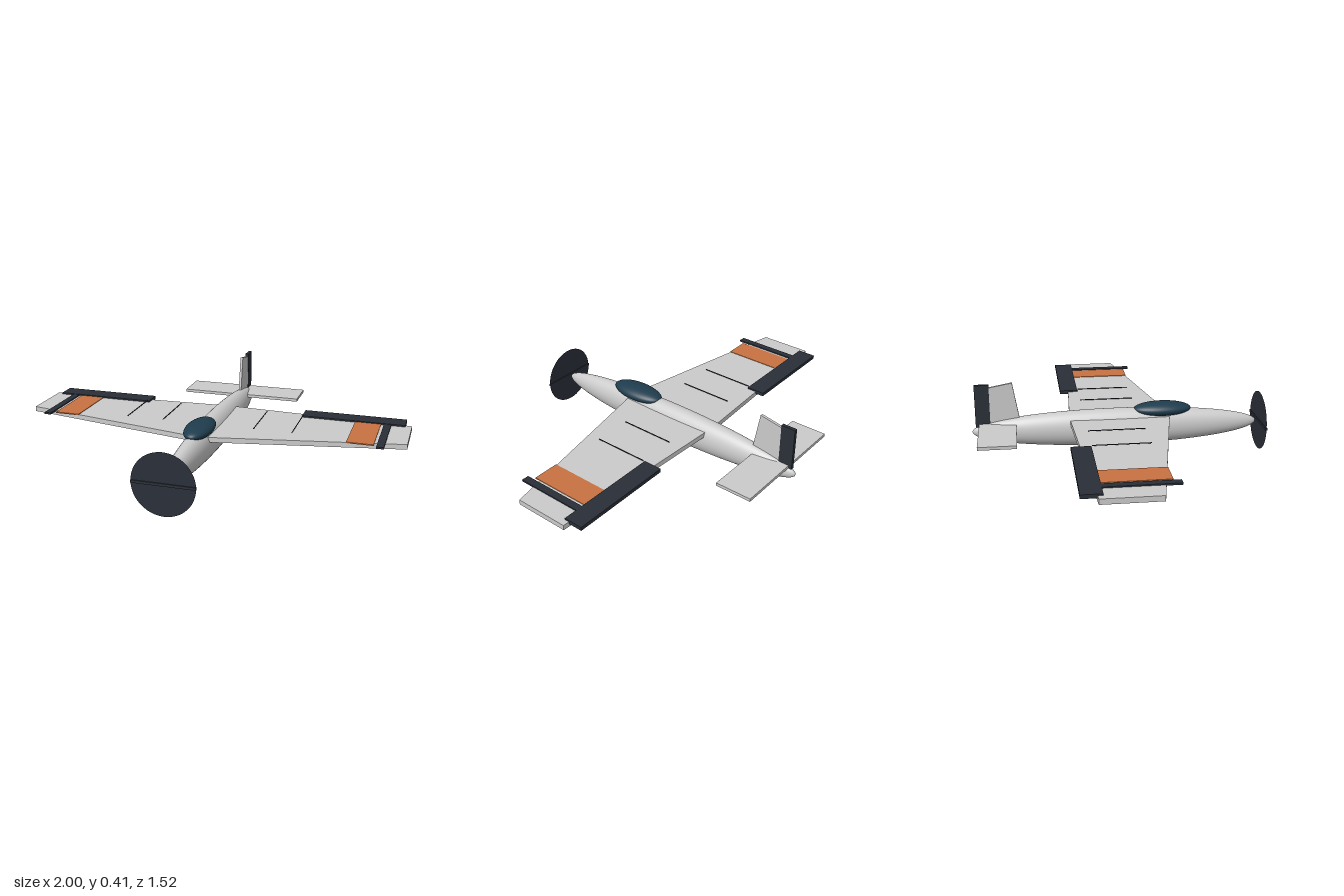
import * as THREE from 'three';

const mat = (color, extra = {}) => new THREE.MeshStandardMaterial({ color, ...extra });

export function createModel() {
  const plane = new THREE.Group();
  plane.name = 'airplane';
  const grey = mat(0xcccccc);
  const dark = mat(0x2a2f38);
  const orange = mat(0xc87240);
  const glass = mat(0x1f3d4e);

  const add = (name, geometry, material, x = 0, y = 0, z = 0) => {
    const mesh = new THREE.Mesh(geometry, material);
    mesh.name = name;
    mesh.position.set(x, y, z);
    plane.add(mesh);
    return mesh;
  };
  // Box given by its x, y and z ranges
  const box = (name, material, [x0, x1], [y0, y1], [z0, z1]) =>
    add(name, new THREE.BoxGeometry(x1 - x0, y1 - y0, z1 - z0), material,
      (x0 + x1) / 2, (y0 + y1) / 2, (z0 + z1) / 2);
  // Ellipsoid with its poles along z
  const ellipsoid = (name, material, rx, ry, rz, y, z) =>
    add(name, new THREE.SphereGeometry(1, 40, 28).rotateX(Math.PI / 2).scale(rx, ry, rz),
      material, 0, y, z);
  // Flat plate extruded from an outline
  const plate = (points, depth) => new THREE.ExtrudeGeometry(
    new THREE.Shape(points.map(([a, b]) => new THREE.Vector2(a, b))),
    { depth, bevelEnabled: false });

  // Body and canopy
  ellipsoid('fuselage', grey, 0.07, 0.098, 0.747, 0.157, -0.01);
  ellipsoid('canopy', glass, 0.07, 0.037, 0.152, 0.245, 0.23);

  // Tapered wing: outline in x and -z, laid flat
  const wing = plate([
    [-1, -0.073], [0, -0.273], [1, -0.073], [1, 0.205], [0, 0.257], [-1, 0.205],
  ], 0.026);
  add('wing', wing.rotateX(-Math.PI / 2), grey, 0, 0.188, 0);

  // Wing details on both sides
  for (const s of [-1, 1]) {
    const side = s > 0 ? 'left' : 'right';
    const span = (a, b) => (s > 0 ? [a, b] : [-b, -a]);
    box(side + 'Aileron', dark, span(0.433, 0.968), [0.203, 0.222], [-0.28, -0.182]);
    box(side + 'WingBand', orange, span(0.712, 0.845), [0.211, 0.217], [-0.19, 0.133]);
    box(side + 'WingStrip', dark, span(0.86, 0.897), [0.211, 0.22], [-0.19, 0.166]);
    for (const x of [0.243, 0.44]) {
      box(side + 'PanelLine', dark, span(x - 0.0015, x + 0.0015), [0.225, 0.229], [-0.18, 0.106]);
    }
  }

  // Tail: fin outline in -z and y, turned into the centre plane
  box('tailplane', grey, [-0.333, 0.333], [0.184, 0.2], [-0.72, -0.53]);
  const fin = plate([[0.507, 0.19], [0.68, 0.19], [0.68, 0.389], [0.545, 0.414]], 0.014);
  add('fin', fin.translate(0, 0, -0.007).rotateY(Math.PI / 2), grey);
  box('rudder', dark, [-0.009, 0.009], [0.184, 0.407], [-0.737, -0.663]);

  // Propeller disc with one blade across it
  add('propellerDisc', new THREE.CircleGeometry(0.155, 48),
    mat(0x2a2f38, { side: THREE.DoubleSide }), 0, 0.157, 0.755);
  box('propellerBlade', dark, [-0.155, 0.155], [0.151, 0.164], [0.75, 0.76]);

  return plane;
}
